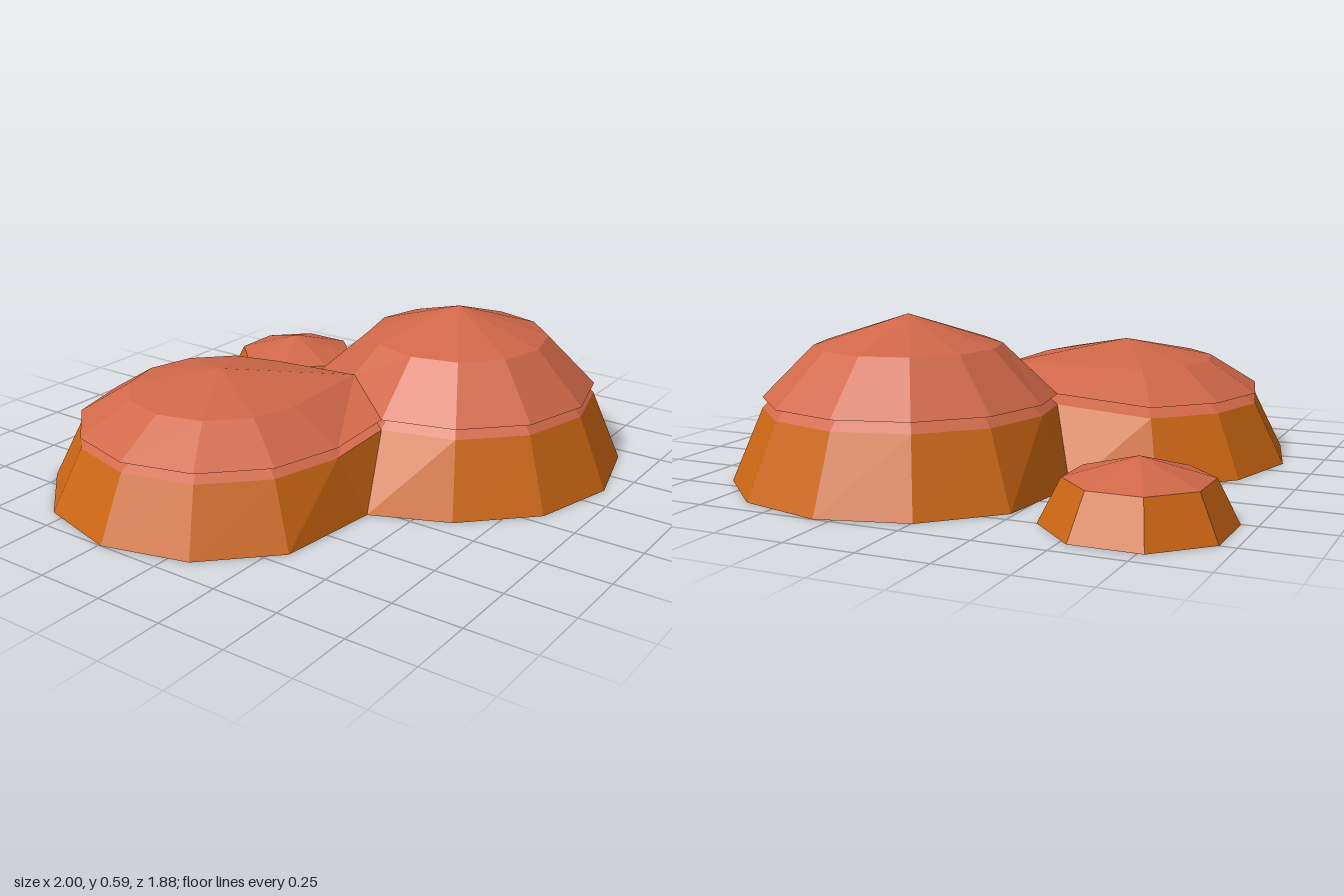
import * as THREE from 'three';

const EARTH = new THREE.MeshStandardMaterial({ color: 0xcc6612, flatShading: true, side: THREE.DoubleSide });
const CAP = new THREE.MeshStandardMaterial({ color: 0xd06848, flatShading: true, side: THREE.DoubleSide });

// Regular ring of points, counted from +x towards +z; overrides replace single points
function ring(cx, cz, r, y, n, turn = 0, overrides = {}) {
  const pts = [];
  for (let i = 0; i < n; i++) {
    const a = (i / n) * Math.PI * 2 + turn;
    pts.push(overrides[i] ?? [cx + r * Math.cos(a), y, cz + r * Math.sin(a)]);
  }
  return pts;
}

// Skin between consecutive rings, over `count` sides beginning at side `start`
function skin(name, material, rings, start = 0, count = rings[0].length) {
  const pos = [];
  const n = rings[0].length;
  for (let k = 0; k < rings.length - 1; k++) {
    for (let s = start; s < start + count; s++) {
      const i = s % n, j = (s + 1) % n;
      const [a, b] = [rings[k], rings[k + 1]];
      const same = (p, q) => p.every((v, c) => Math.abs(v - q[c]) < 1e-6);
      for (const t of [[a[j], a[i], b[i]], [a[j], b[i], b[j]]]) {
        if (same(t[0], t[1]) || same(t[1], t[2]) || same(t[0], t[2])) continue;
        pos.push(...t.flat());
      }
    }
  }
  const geo = new THREE.BufferGeometry();
  geo.setAttribute('position', new THREE.Float32BufferAttribute(pos, 3));
  geo.computeVertexNormals();
  const mesh = new THREE.Mesh(geo, material);
  mesh.name = name;
  return mesh;
}

const lift = (rings, dy) => rings.map((r) => r.map(([x, y, z]) => [x, y + dy, z]));

// Large mound: open earth wall, inner dome and a raised outer cap of the same shape
function mound(name, { cx, cz, rimY, midY, topY, baseSeam, rimSeam, midSeam, start }) {
  const g = new THREE.Group();
  g.name = name;
  const base = ring(cx, cz, 0.63, 0, 12, 0, baseSeam);
  const rim = ring(cx, cz, 0.517, rimY, 12, 0, rimSeam);
  const mid = ring(cx, cz, 0.335, midY, 12, 0, midSeam);
  const apex = ring(cx, cz, 0, topY, 12);
  const dome = [rim, mid, apex];
  g.add(
    skin('wall', EARTH, [base, rim], start, 10),
    skin('innerDome', CAP, dome),
    skin('outerCap', CAP, lift(dome, 0.038)),
  );
  return g;
}

export function createModel() {
  const model = new THREE.Group();
  model.name = 'mounds';

  // Points shared by the two joined mounds
  const footBack = [0.295, 0, -0.28], footFront = [-0.295, 0, 0.35];
  const seamBack = [0.15, 0.262, -0.17], seamFront = [-0.15, 0.262, 0.31];
  const seamTop = [0, 0.34, 0.09];

  model.add(mound('tallMound', {
    cx: 0.37, cz: 0.31, rimY: 0.262, midY: 0.444, topY: 0.552, start: 8,
    baseSeam: { 6: footFront, 8: footBack, 9: footBack },
    rimSeam: { 6: seamFront, 7: seamTop, 8: seamBack },
  }));
  model.add(mound('lowMound', {
    cx: -0.37, cz: -0.24, rimY: 0.224, midY: 0.336, topY: 0.404, start: 2,
    baseSeam: { 0: footBack, 2: footFront, 3: footFront },
    rimSeam: { 0: seamBack, 1: seamTop, 2: seamFront },
    midSeam: { 1: seamTop, 2: seamTop },
  }));

  // Small separate mound
  const small = new THREE.Group();
  small.name = 'smallMound';
  const turn = Math.PI / 8;
  const foot = ring(0.627, -0.65, 0.319, 0, 8, turn);
  const rim = ring(0.627, -0.65, 0.243, 0.15, 8, turn);
  const apex = ring(0.627, -0.65, 0, 0.22, 8, turn);
  small.add(skin('wall', EARTH, [foot, rim]), skin('cap', CAP, [rim, apex]));
  model.add(small);
  return model;
}
